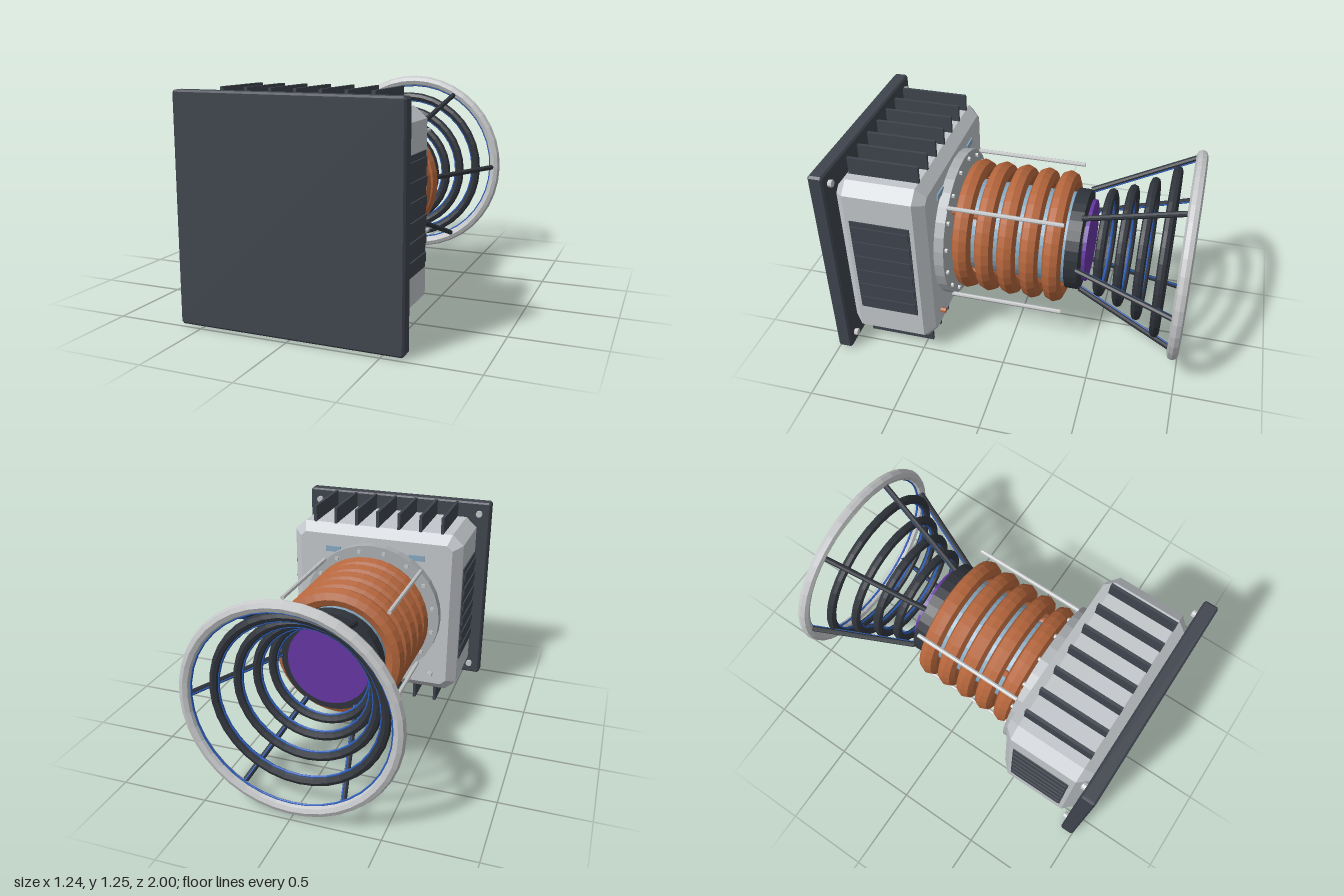
import * as THREE from 'three';

const CY = 0.625; // height of the main axis

function mat(name, color) {
  const m = new THREE.MeshStandardMaterial({ color, flatShading: true });
  m.name = name;
  return m;
}

export function createModel() {
  const root = new THREE.Group();
  root.name = 'coilThruster';

  const slate = mat('slate', 0x3f444d);
  const dark = mat('darkSteel', 0x30353c);
  const shell = mat('paleShell', 0xc2c6ca);
  const flangeGrey = mat('flangeGrey', 0xabafb2);
  const silver = mat('silver', 0xc4c6c8);
  const copper = mat('copper', 0xb5663c);
  const coreBlue = mat('coreBlue', 0x86a9c2);
  const glowBlue = mat('glowBlue', 0x2a5cb8);
  const violet = mat('violet', 0x6636a4);

  function add(name, geometry, material, x = 0, y = CY, z = 0) {
    const mesh = new THREE.Mesh(geometry, material);
    mesh.name = name;
    mesh.position.set(x, y, z);
    root.add(mesh);
    return mesh;
  }
  // cylinder along z between two depths
  function disc(name, r, z0, z1, material, sides = 32, x = 0, y = CY) {
    const g = new THREE.CylinderGeometry(r, r, Math.abs(z1 - z0), sides).rotateX(Math.PI / 2);
    return add(name, g, material, x, y, (z0 + z1) / 2);
  }
  function ring(name, radius, tube, z, material, sides = 8, steps = 36) {
    return add(name, new THREE.TorusGeometry(radius, tube, sides, steps), material, 0, CY, z);
  }
  // straight rod between two points
  function rod(name, a, b, r, material, sides = 8) {
    const d = b.clone().sub(a);
    const m = add(name, new THREE.CylinderGeometry(r, r, d.length(), sides), material);
    m.position.copy(a).add(b).multiplyScalar(0.5);
    m.quaternion.setFromUnitVectors(new THREE.Vector3(0, 1, 0), d.normalize());
    return m;
  }
  const polar = (angle, r, z) =>
    new THREE.Vector3(Math.cos(angle) * r, CY + Math.sin(angle) * r, z);

  // block with cut corners and chamfered ends, from z0 to z1
  function chamferBlock(name, hx, hy, cx, cy, bevel, z0, z1, material) {
    const s = new THREE.Shape([
      [hx - cx, -hy], [hx, cy - hy], [hx, hy - cy], [hx - cx, hy],
      [cx - hx, hy], [-hx, hy - cy], [-hx, cy - hy], [cx - hx, -hy],
    ].map(([x, y]) => new THREE.Vector2(x, y)));
    const g = new THREE.ExtrudeGeometry(s, {
      depth: z1 - z0 - 2 * bevel, bevelEnabled: true, bevelSegments: 1,
      bevelSize: bevel, bevelThickness: bevel, bevelOffset: -bevel,
    });
    return add(name, g, material, 0, CY, z0 + bevel);
  }

  // mounting plate and housing
  chamferBlock('mountingPlate', 0.62, 0.612, 0.012, 0.012, 0.01, 0.917, 1, slate);
  chamferBlock('housing', 0.547, 0.527, 0.07, 0.062, 0.056, 0.412, 0.918, shell);

  // plate corner bolts
  for (const x of [-0.55, 0.55])
    for (const y of [-0.54, 0.54])
      disc('plateBolt', 0.021, 0.895, 0.92, silver, 8, x, CY + y);

  // cooling fins above and below
  for (let i = -3; i <= 3; i++)
    for (const s of [-1, 1])
      add('coolingFin', new THREE.BoxGeometry(0.018, 0.115, 0.4), slate,
        i * 0.137, CY + s * 0.5675, 0.665);

  // side vents with slats
  for (const s of [-1, 1]) {
    add('ventPanel', new THREE.BoxGeometry(0.02, 0.615, 0.345), slate, s * 0.544, CY, 0.665);
    for (let i = 0; i < 6; i++)
      add('ventSlat', new THREE.BoxGeometry(0.02, 0.05, 0.33), slate,
        s * 0.552, CY + (i - 2.5) * 0.1, 0.665);
  }

  // flange with its ring of bolts
  disc('flange', 0.44, 0.355, 0.415, flangeGrey, 32);
  for (let i = 0; i < 16; i++) {
    const p = polar(((i + 0.5) / 16) * Math.PI * 2, 0.405, 0);
    disc('flangeBolt', 0.013, 0.34, 0.357, silver, 6, p.x, p.y);
  }

  // status plates and fittings on the rear of the housing
  for (const s of [-1, 1])
    add('statusPlate', new THREE.BoxGeometry(0.1, 0.035, 0.01), coreBlue, s * 0.27, 1.0, 0.409);
  disc('copperFitting', 0.016, 0.38, 0.414, copper, 6, 0.39, 0.235);
  disc('silverFitting', 0.016, 0.38, 0.414, silver, 6, -0.39, 0.225);

  // inner core and copper coils
  disc('core', 0.27, -0.31, 0.36, coreBlue, 32);
  for (let i = 0; i < 5; i++) ring('coil', 0.336, 0.055, 0.284 - i * 0.131, copper);

  // coil leads and tie rods on the diagonals
  for (let i = 0; i < 4; i++) {
    const a = Math.PI / 4 + (i * Math.PI) / 2;
    rod('coilLead', polar(a, 0.335, 0.357), polar(a, 0.265, 0.19), 0.02, copper);
    rod('tieRod', polar(a, 0.443, 0.36), polar(a, 0.443, -0.302), 0.0125, silver);
  }

  // collar and emitter disc
  disc('collar', 0.297, -0.38, -0.303, dark, 32);
  disc('emitterHub', 0.18, -0.4, -0.375, dark, 24);
  disc('emitterDisc', 0.242, -0.413, -0.393, violet, 32);

  // open horn: growing rings, each with a thin lit inner edge
  const hoops = [[0.294, -0.498], [0.334, -0.615], [0.392, -0.731], [0.472, -0.848]];
  for (const [r, z] of hoops) {
    ring('hornRing', r, 0.027, z, dark);
    ring('hornGlow', r - 0.025, 0.008, z, glowBlue, 6);
  }
  ring('hornRim', 0.573, 0.033, -0.967, silver, 8, 40);
  ring('rimGlow', 0.541, 0.007, -0.967, glowBlue, 6, 40);

  // horn struts with a lit strip along the inside
  for (let i = 0; i < 6; i++) {
    const a = (i * Math.PI) / 3;
    rod('hornStrut', polar(a, 0.296, -0.375), polar(a, 0.562, -0.955), 0.016, dark);
    rod('strutGlow', polar(a, 0.284, -0.39), polar(a, 0.543, -0.955), 0.005, glowBlue, 6);
  }

  return root;
}
